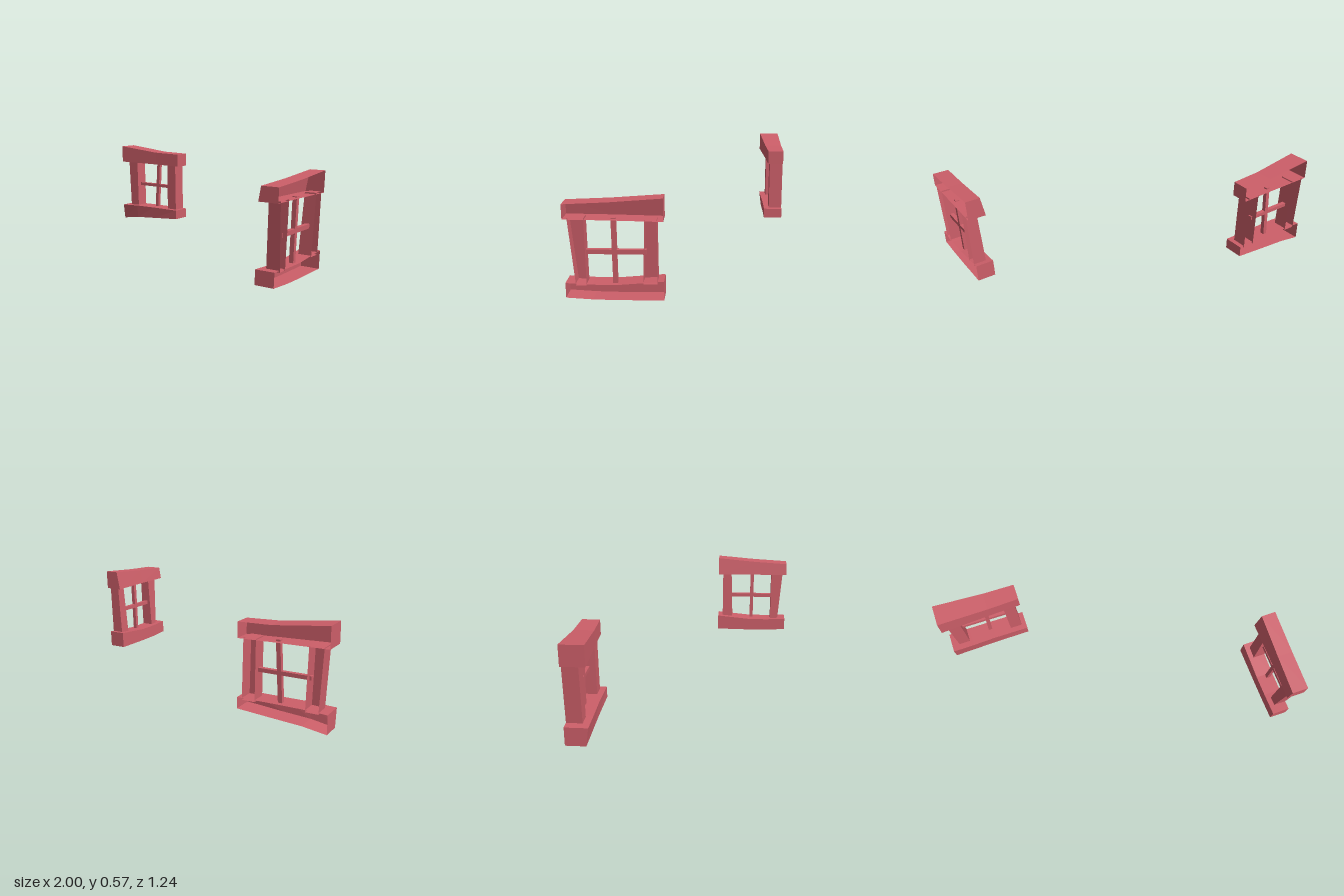
import * as THREE from 'three';

const material = new THREE.MeshStandardMaterial({
  color: 0xcd5f69, flatShading: true, side: THREE.DoubleSide,
});

// Lofts four-cornered rings of [u, v, w] points, capped at both ends;
// the strip between the last and first corners is left out on open-backed parts.
function loft(name, rings, openBack) {
  const pos = [];
  const quad = (a, b, c, d) => pos.push(...a, ...b, ...c, ...a, ...c, ...d);
  for (let i = 0; i < rings.length - 1; i++) {
    const p = rings[i], q = rings[i + 1];
    for (let j = 0; j < (openBack ? 3 : 4); j++) {
      const k = (j + 1) % 4;
      quad(p[j], q[j], q[k], p[k]);
    }
  }
  quad(...rings[0]);
  quad(...[...rings[rings.length - 1]].reverse());
  const geometry = new THREE.BufferGeometry();
  geometry.setAttribute('position', new THREE.Float32BufferAttribute(pos, 3));
  geometry.computeVertexNormals();
  const mesh = new THREE.Mesh(geometry, material);
  mesh.name = name;
  return mesh;
}

// Horizontal beam; stations are [u, bottom, top, depth at bottom, depth at top]
function beam(name, stations, back = 0) {
  return loft(name, stations.map(([u, v0, v1, d0, d1]) => [
    [u, v0, back], [u, v0, d0], [u, v1, d1], [u, v1, back],
  ]), back === 0);
}

// Upright post; stations are [v, u min, u max, front depth]
function post(name, stations, back = 0) {
  return loft(name, stations.map(([v, u0, u1, d]) => [
    [u1, v, back], [u1, v, d], [u0, v, d], [u0, v, back],
  ]), back === 0);
}

// u runs along the window, v is up, w comes out of the wall plane
function makeWindow(name, s, matrix) {
  const g = new THREE.Group();
  g.name = name;
  const [b, f] = s.barDepth;
  g.add(
    beam('header', s.header),
    beam('sill', s.sill),
    ...s.posts.map((p) => post('sidePost', p)),
    post('verticalBar', s.vertical.map((p) => [...p, f]), b),
    beam('horizontalBar', s.horizontal.map((p) => [...p, f, f]), b),
  );
  g.children.forEach((m) => m.geometry.applyMatrix4(matrix));
  return g;
}

export function createModel() {
  const model = new THREE.Group();
  model.name = 'crookedWindows';

  // Window facing the front
  model.add(makeWindow('frontWindow', {
    header: [
      [-1, 0.45, 0.57, 0.135, 0.135],
      [-0.68, 0.445, 0.535, 0.115, 0.115],
      [-0.48, 0.44, 0.53, 0.105, 0.105],
    ],
    sill: [
      [-1, 0, 0.107, 0.115, 0.13],
      [-0.86, 0.02, 0.112, 0.12, 0.13],
      [-0.7, 0.03, 0.112, 0.12, 0.125],
      [-0.48, 0.045, 0.11, 0.125, 0.125],
    ],
    posts: [
      [[0.1, -0.95, -0.877, 0.09], [0.455, -0.97, -0.888, 0.09]],
      [[0.1, -0.587, -0.51, 0.09], [0.45, -0.59, -0.516, 0.09]],
    ],
    vertical: [[0.1, -0.735, -0.71], [0.455, -0.715, -0.69]],
    horizontal: [[-0.895, 0.265, 0.287], [-0.58, 0.263, 0.285]],
    barDepth: [0.03, 0.055],
  }, new THREE.Matrix4().makeTranslation(0, 0, -0.62)));

  // Window facing sideways, its back plane leaning slightly outward
  const lean = new THREE.Matrix4().makeBasis(
    new THREE.Vector3(0, 0, 1),
    new THREE.Vector3(0.037, 1, 0),
    new THREE.Vector3(-1, 0, 0),
  ).setPosition(0.975, 0, 0);
  model.add(makeWindow('sideWindow', {
    header: [
      [0.11, 0.45, 0.572, 0.11, 0.09],
      [0.38, 0.455, 0.55, 0.11, 0.095],
      [0.62, 0.457, 0.537, 0.112, 0.1],
    ],
    sill: [
      [0.11, 0.022, 0.127, 0.11, 0.11],
      [0.35, 0.02, 0.105, 0.11, 0.11],
      [0.48, 0.022, 0.105, 0.11, 0.11],
      [0.62, 0.03, 0.112, 0.11, 0.11],
    ],
    posts: [
      [[0.1, 0.51, 0.565, 0.078], [0.465, 0.51, 0.595, 0.067]],
      [[0.11, 0.143, 0.217, 0.078], [0.46, 0.143, 0.205, 0.067]],
    ],
    vertical: [[0.095, 0.352, 0.376], [0.46, 0.352, 0.378]],
    horizontal: [[0.2, 0.265, 0.29], [0.515, 0.265, 0.29]],
    barDepth: [0.025, 0.05],
  }, lean));

  return model;
}
